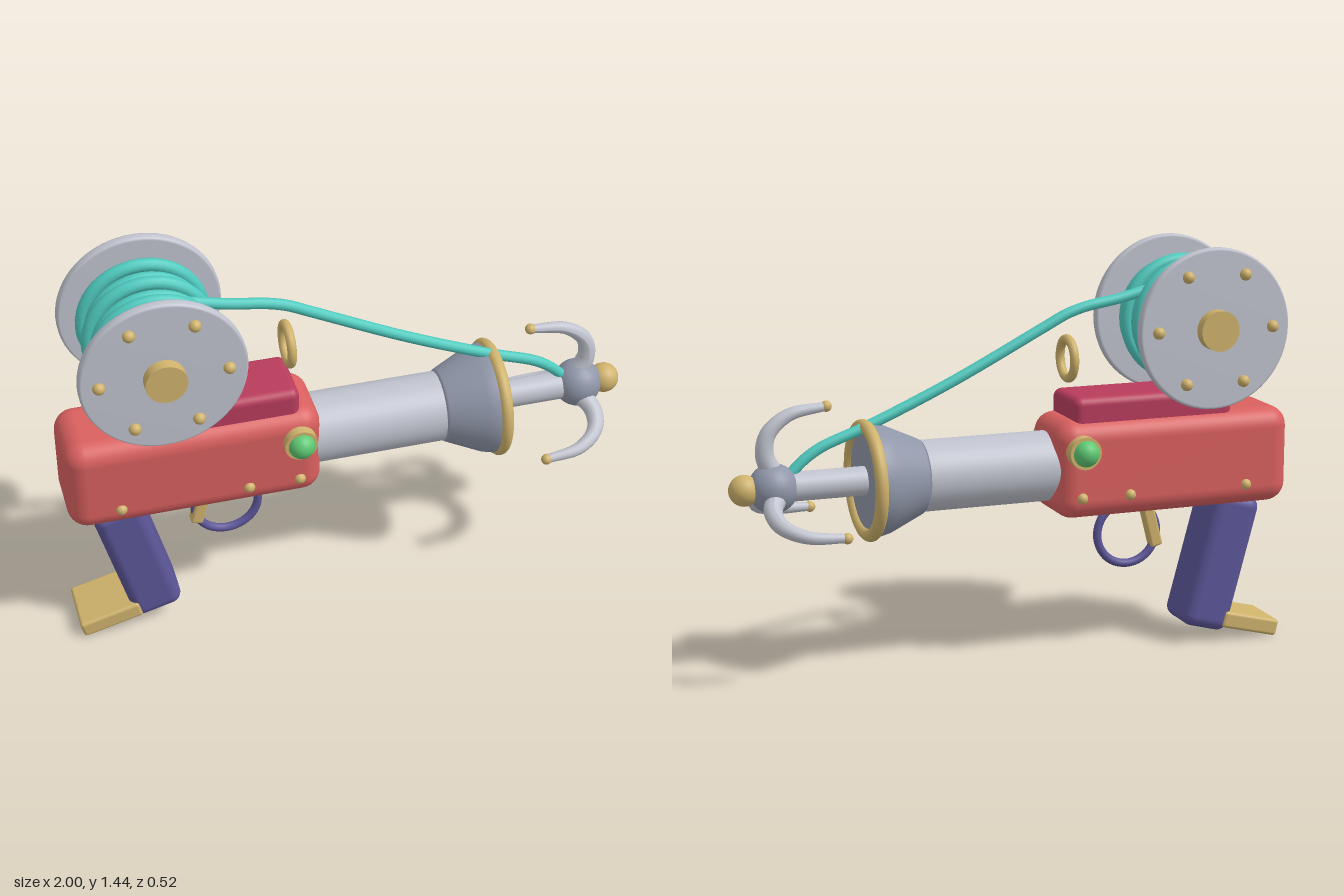
import * as THREE from 'three';
import { RoundedBoxGeometry } from 'three/addons/geometries/RoundedBoxGeometry.js';

const mat = (name, color) => {
  const m = new THREE.MeshStandardMaterial({ color });
  m.name = name;
  return m;
};

export function createModel() {
  const root = new THREE.Group();
  root.name = 'grappleLauncher';
  const red = mat('coral red', 0xd9605f);
  const crimson = mat('crimson', 0xb83c5c);
  const silver = mat('silver', 0xc0c3ce);
  const steel = mat('steel', 0x8f96a8);
  const gold = mat('brass', 0xcfb26c);
  const teal = mat('teal rope', 0x4fcabf);
  const violet = mat('violet', 0x5c5698);
  const green = mat('green glass', 0x5ec873);

  const add = (name, geo, material, x = 0, y = 0, z = 0, parent = root) => {
    const m = new THREE.Mesh(geo, material);
    m.name = name;
    m.position.set(x, y, z);
    parent.add(m);
    return m;
  };
  const rbox = (w, h, d, r) => new RoundedBoxGeometry(w, h, d, 5, r);
  const ball = (r) => new THREE.SphereGeometry(r, 24, 16);
  // cylinders along x and along z
  const cylX = (r, l) => new THREE.CylinderGeometry(r, r, l, 40).rotateZ(-Math.PI / 2);
  const cylZ = (r, l) => new THREE.CylinderGeometry(r, r, l, 40).rotateX(Math.PI / 2);
  const ringX = (R, t) => new THREE.TorusGeometry(R, t, 14, 56).rotateY(Math.PI / 2);
  const axisY = 0.683;

  // Body and top rail
  add('body', rbox(0.88, 0.345, 0.3, 0.07), red, -0.56, 0.683, 0);
  add('topRail', rbox(0.595, 0.13, 0.23, 0.03), crimson, -0.4875, 0.87, 0);

  // Grip, foot plate, trigger and guard
  add('grip', rbox(0.18, 0.5, 0.2, 0.04), violet, -0.77, 0.294, 0).rotation.z = 0.262;
  add('gripFoot', rbox(0.22, 0.06, 0.21, 0.012), gold, -0.882, 0.057, 0).rotation.z = 0.25;
  add('triggerGuard', new THREE.TorusGeometry(0.113, 0.015, 12, 48), violet, -0.435, 0.415, 0);
  add('trigger', rbox(0.045, 0.17, 0.046, 0.01), gold, -0.525, 0.44, 0).rotation.z = -0.25;

  // Barrel, bell muzzle and plunger rod
  add('barrel', cylX(0.123, 0.52), silver, 0.09, axisY, 0);
  const bell = [[0, 0], [0.123, 0], [0.13, 0.01], [0.185, 0.13], [0.195, 0.17], [0.195, 0.2]];
  add('muzzleBell', new THREE.LatheGeometry(bell.map(([r, h]) => new THREE.Vector2(r, h)), 48)
    .rotateZ(-Math.PI / 2), steel, 0.33, axisY, 0);
  add('muzzleFace', new THREE.CircleGeometry(0.195, 48).rotateY(Math.PI / 2), steel, 0.53, axisY, 0);
  add('muzzleRing', ringX(0.186, 0.023), gold, 0.525, axisY, 0);
  add('plungerRod', cylX(0.05, 0.34), silver, 0.65, axisY, 0);

  // Grappling hook: hub, nose and three tapered claws
  add('hookHub', ball(0.085), steel, 0.848, axisY, 0);
  add('hookNose', ball(0.053), gold, 0.947, axisY, 0);
  const clawPath = new THREE.CatmullRomCurve3([
    [0.84, 0.04], [0.874, 0.11], [0.862, 0.185], [0.79, 0.245], [0.66, 0.266],
  ].map(([x, r]) => new THREE.Vector3(x, r, 0)));
  const taperedTube = (path, segs, sides, r0, r1) => {
    const geo = new THREE.TubeGeometry(path, segs, 1, sides);
    const pos = geo.attributes.position;
    const v = new THREE.Vector3();
    for (let i = 0; i < pos.count; i++) {
      const t = Math.floor(i / (sides + 1)) / segs;
      const c = path.getPointAt(t);
      v.fromBufferAttribute(pos, i).sub(c).multiplyScalar(r0 + (r1 - r0) * t).add(c);
      pos.setXYZ(i, v.x, v.y, v.z);
    }
    geo.computeVertexNormals();
    return geo;
  };
  const clawGeo = taperedTube(clawPath, 32, 14, 0.036, 0.015);
  for (let i = 0; i < 3; i++) {
    const claw = new THREE.Group();
    claw.name = 'claw' + (i + 1);
    claw.position.y = axisY;
    claw.rotation.x = (i * Math.PI * 2) / 3;
    root.add(claw);
    add('clawArm', clawGeo, silver, 0, 0, 0, claw);
    add('clawTip', ball(0.019), gold, 0.66, 0.266, 0, claw);
  }

  // Spool: drum, rope coils, flanges, hub caps and rivets
  const spool = new THREE.Group();
  spool.name = 'spool';
  spool.position.set(-0.665, 1.163, 0);
  root.add(spool);
  add('drum', cylZ(0.15, 0.38), steel, 0, 0, 0, spool);
  for (let i = 0; i < 6; i++) {
    add('ropeCoil', new THREE.TorusGeometry(i % 2 ? 0.204 : 0.186, 0.023, 12, 48), teal,
      0, 0, 0.134 - i * 0.0536, spool);
  }
  const rim = [[0, -0.02], [0.27, -0.02], [0.277, -0.016], [0.28, -0.008],
    [0.28, 0.008], [0.277, 0.016], [0.27, 0.02], [0, 0.02]];
  const flangeGeo = new THREE.LatheGeometry(rim.map(([r, h]) => new THREE.Vector2(r, h)), 64)
    .rotateX(Math.PI / 2);
  for (const s of [1, -1]) {
    add('flange', flangeGeo, silver, 0, 0, s * 0.197, spool);
    add('hubCap', cylZ(0.07, 0.06), gold, 0, 0, s * 0.228, spool);
    for (let k = 0; k < 6; k++) {
      const a = (k * Math.PI) / 3;
      add('flangeRivet', ball(0.021), gold, 0.214 * Math.cos(a), 0.214 * Math.sin(a), s * 0.22, spool);
    }

    // Side lamp and body rivets
    add('lampBase', cylZ(0.057, 0.06), gold, -0.205, 0.755, s * 0.15);
    add('lamp', ball(0.046), green, -0.205, 0.755, s * 0.177);
    for (const x of [-0.825, -0.383, -0.205]) add('bodyRivet', ball(0.02), gold, x, 0.59, s * 0.147);
  }

  // Rope guide and the line running to the hook
  add('ropeGuide', ringX(0.068, 0.016), gold, -0.205, 1.055, 0);
  const line = new THREE.CatmullRomCurve3([
    [-0.58, 1.3], [-0.4, 1.255], [-0.27, 1.232], [-0.2, 1.21], [-0.12, 1.17], [0.22, 1.0],
    [0.52, 0.87], [0.68, 0.81], [0.74, 0.772], [0.8, 0.715],
  ].map(([x, y]) => new THREE.Vector3(x, y, 0)));
  add('rope', new THREE.TubeGeometry(line, 80, 0.019, 12), teal);

  return root;
}
